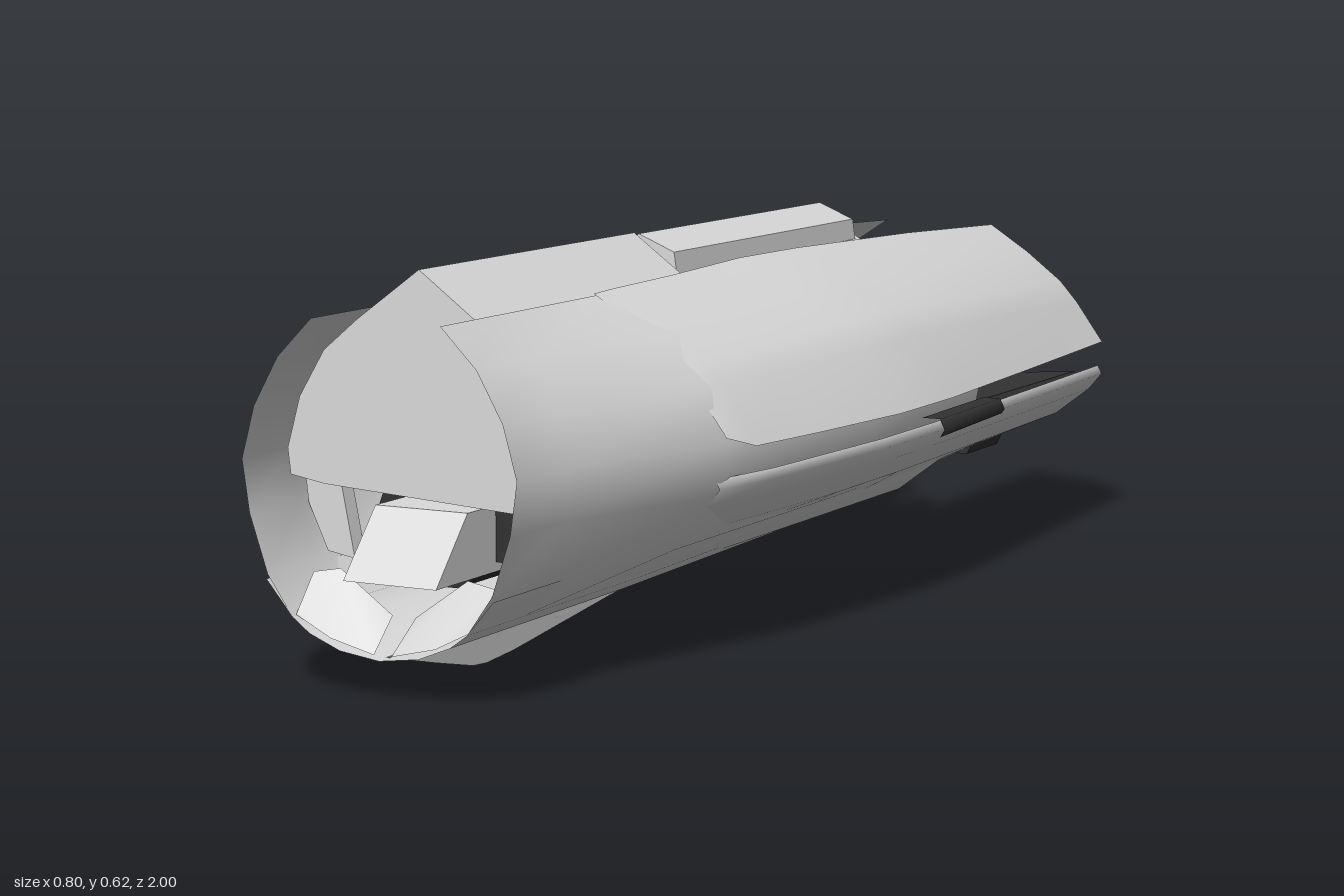
import * as THREE from 'three';

const grey = new THREE.MeshStandardMaterial({ color: 0xdadada, side: THREE.DoubleSide });
grey.name = 'hull grey';
const dark = new THREE.MeshStandardMaterial({ color: 0x323232, side: THREE.DoubleSide });
dark.name = 'engine charcoal';

// Thin skin through cross-sections [z, [[x, y], ...]]; side = 1 or -1 mirrors it in x
function skin(sections, side = 1) {
  const pos = [], idx = [], n = sections[0][1].length;
  for (const [z, pts] of sections) for (const [x, y] of pts) pos.push(x * side, y, z);
  for (let i = 0; i < sections.length - 1; i++) {
    for (let j = 0; j < n - 1; j++) {
      const a = i * n + j, b = a + 1, c = a + n, d = c + 1;
      if (side > 0) idx.push(a, c, b, b, c, d);
      else idx.push(a, b, c, b, d, c);
    }
  }
  const g = new THREE.BufferGeometry();
  g.setAttribute('position', new THREE.Float32BufferAttribute(pos, 3));
  g.setIndex(idx);
  g.computeVertexNormals();
  return g;
}

// Solid prism with an x-y outline, from z0 to z1
function prism(pts, z0, z1, side = 1) {
  const shape = new THREE.Shape(pts.map(([x, y]) => new THREE.Vector2(x * side, y)));
  const g = new THREE.ExtrudeGeometry(shape, { depth: z1 - z0, bevelEnabled: false });
  return g.translate(0, 0, z0);
}

export function createModel() {
  const model = new THREE.Group();
  const add = (name, geometry, material = grey) => {
    const m = new THREE.Mesh(geometry, material);
    m.name = name;
    model.add(m);
  };

  // Inner hull side, flared from the bow opening to the middle
  const hullAt = (z, w, top) => [z, [
    [0.11, top], [0.11 + (w - 0.11) * 0.48, top - 0.06], [0.11 + (w - 0.11) * 0.82, 0.42],
    [w, 0.34], [w * 0.95, 0.26], [0.15 + (w - 0.15) * 0.5, 0.17], [0.15, 0.11]]];
  const hull = [hullAt(1, 0.235, 0.555), hullAt(0.86, 0.242, 0.555), hullAt(0.54, 0.335, 0.555),
    hullAt(0.4, 0.335, 0.55), hullAt(0, 0.335, 0.55), hullAt(-0.48, 0.31, 0.54)];

  // Upper shell: wide thin cowling reaching to the stern
  const upperAt = (z, w, top, low) => [z, [
    [0.108, top], [0.11 + (w - 0.11) * 0.32, top - 0.048], [0.11 + (w - 0.11) * 0.62, top - 0.1],
    [0.11 + (w - 0.11) * 0.77, top - 0.138], [w, low]]];
  const upper = [upperAt(0.55, 0.337, 0.558, 0.35), upperAt(0.49, 0.357, 0.56, 0.332),
    upperAt(0.3, 0.375, 0.563, 0.33), upperAt(0.06, 0.4, 0.57, 0.33), upperAt(-0.15, 0.398, 0.568, 0.33),
    upperAt(-0.6, 0.365, 0.556, 0.33), upperAt(-0.98, 0.335, 0.54, 0.33)];

  // Lower shell
  const lowerAt = (z, w, inner, low) => [z, [
    [w - 0.008, 0.285], [w, 0.27], [w - 0.025, 0.24], [w - 0.09, 0.19], [inner, low]]];
  const lower = [lowerAt(0.55, 0.325, 0.19, 0.15), lowerAt(0.4, 0.35, 0.19, 0.15),
    lowerAt(0.05, 0.37, 0.18, 0.14), lowerAt(-0.2, 0.368, 0.16, 0.125), lowerAt(-0.6, 0.352, 0.15, 0.14),
    lowerAt(-0.98, 0.335, 0.18, 0.168)];

  // Belly, rising gently to the stern
  const bellyAt = (z, y, w) => [z, [[0, y], [w * 0.45, y + 0.009], [w * 0.8, y + 0.03],
    [w, y + 0.052], [w * 1.3, y + 0.105]]];
  const belly = [bellyAt(1, 0.058, 0.15), bellyAt(0.5, 0.062, 0.16), bellyAt(0, 0.073, 0.17),
    [-0.4, [[0, 0.09], [0.08, 0.098], [0.13, 0.115], [0.16, 0.13], [0.2, 0.155]]],
    [-0.82, [[0, 0.115], [0.07, 0.12], [0.11, 0.132], [0.15, 0.145], [0.18, 0.158]]]];

  for (const s of [1, -1]) {
    const name = s > 0 ? 'left' : 'right';
    add(name + 'HullSide', skin(hull, s));
    add(name + 'UpperShell', skin(upper, s));
    add(name + 'LowerShell', skin(lower, s));
    add(name + 'Belly', skin(belly, s));

    // Lining panels inside the bow
    add(name + 'CheekPanel', prism([[0.178, 0.31], [0.238, 0.3], [0.232, 0.25], [0.198, 0.178], [0.15, 0.17]],
      0.8, 0.83, s));
    add(name + 'BowPetal', skin([
      [0.99, [[0.15, 0.112], [0.09, 0.082], [0.015, 0.064]]],
      [0.93, [[0.158, 0.166], [0.11, 0.175], [0.02, 0.112]]]], s));

    // Thin exhaust strips at the stern
    add(name + 'UpperExhaust', prism([[0.16, 0.48], [0.24, 0.44], [0.3, 0.365], [0.23, 0.43]], -1, -0.95, s));
    add(name + 'LowerExhaust', prism([[0.18, 0.2], [0.25, 0.215], [0.3, 0.265], [0.24, 0.235]], -1, -0.9, s));

    // Dark engine block, foot, shoulder strip and intake
    add(name + 'Engine', prism([[0.063, 0.26], [0.3, 0.278], [0.31, 0.265], [0.24, 0.2],
      [0.15, 0.175], [0.063, 0.17]], -0.93, -0.48, s), dark);
    add(name + 'EngineFoot', prism([[0.1, 0.175], [0.17, 0.175], [0.15, 0.132], [0.11, 0.132]], -0.92, -0.78, s), dark);
    add(name + 'EngineShoulder', skin([
      [-0.18, [[0.33, 0.288], [0.363, 0.288], [0.371, 0.27], [0.363, 0.257]]],
      [-0.46, [[0.32, 0.288], [0.352, 0.288], [0.361, 0.27], [0.355, 0.262]]]], s), dark);
    add(name + 'Intake', prism([[0.08, 0.268], [0.118, 0.268], [0.148, 0.19], [0.14, 0.175], [0.075, 0.18]],
      0.62, 0.8, s), dark);
  }

  // Central body: gabled front half, lower rear half
  add('gabledBody', prism([[0, 0.62], [0.11, 0.54], [0.168, 0.492], [0.212, 0.42], [0.235, 0.34], [0.2, 0.267],
    [-0.17, 0.29], [-0.23, 0.3], [-0.235, 0.34], [-0.212, 0.42], [-0.168, 0.492], [-0.11, 0.54]], 0.225, 0.88));
  add('rearBody', prism([[0.06, 0.56], [0.11, 0.53], [0.17, 0.45], [0.2, 0.3], [0.15, 0.17],
    [-0.15, 0.17], [-0.2, 0.3], [-0.17, 0.45], [-0.11, 0.53], [-0.06, 0.56]], -0.48, 0.225));
  add('dorsalSpine', prism([[-0.088, 0.552], [0, 0.617], [0.065, 0.59], [0.07, 0.555]], -0.46, 0.21));

  // Nose wedge and its dark lower edge
  const nose = new THREE.BoxGeometry(0.16, 0.1, 0.38);
  const p = nose.attributes.position;
  for (let i = 0; i < p.count; i++) {
    if (p.getZ(i) > 0 && p.getY(i) > 0) p.setZ(i, 0.1);
  }
  nose.computeVertexNormals();
  add('noseWedge', nose.translate(0, 0.215, 0.78));
  add('noseUnderside', prism([[-0.08, 0.165], [-0.05, 0.147], [0.05, 0.147], [0.08, 0.165]], 0.5, 0.86), dark);

  // Rounded tail fairing between the engines
  const tail = new THREE.SphereGeometry(1, 20, 12, 0, Math.PI * 2, 0, Math.PI / 2);
  add('tailFairing', tail.scale(0.063, 0.08, 0.4).translate(0, 0.165, -0.48));

  // Keel fin
  const fin = new THREE.Shape([[-0.98, 0.06], [-0.85, 0.028], [-0.74, 0.003], [-0.7, 0], [-0.62, 0.005],
    [0, 0.074]].map(([x, y]) => new THREE.Vector2(x, y)));
  const finGeometry = new THREE.ExtrudeGeometry(fin, { depth: 0.004, bevelEnabled: false });
  add('keelFin', finGeometry.rotateY(Math.PI / 2).translate(-0.002, 0, 0));

  return model;
}
